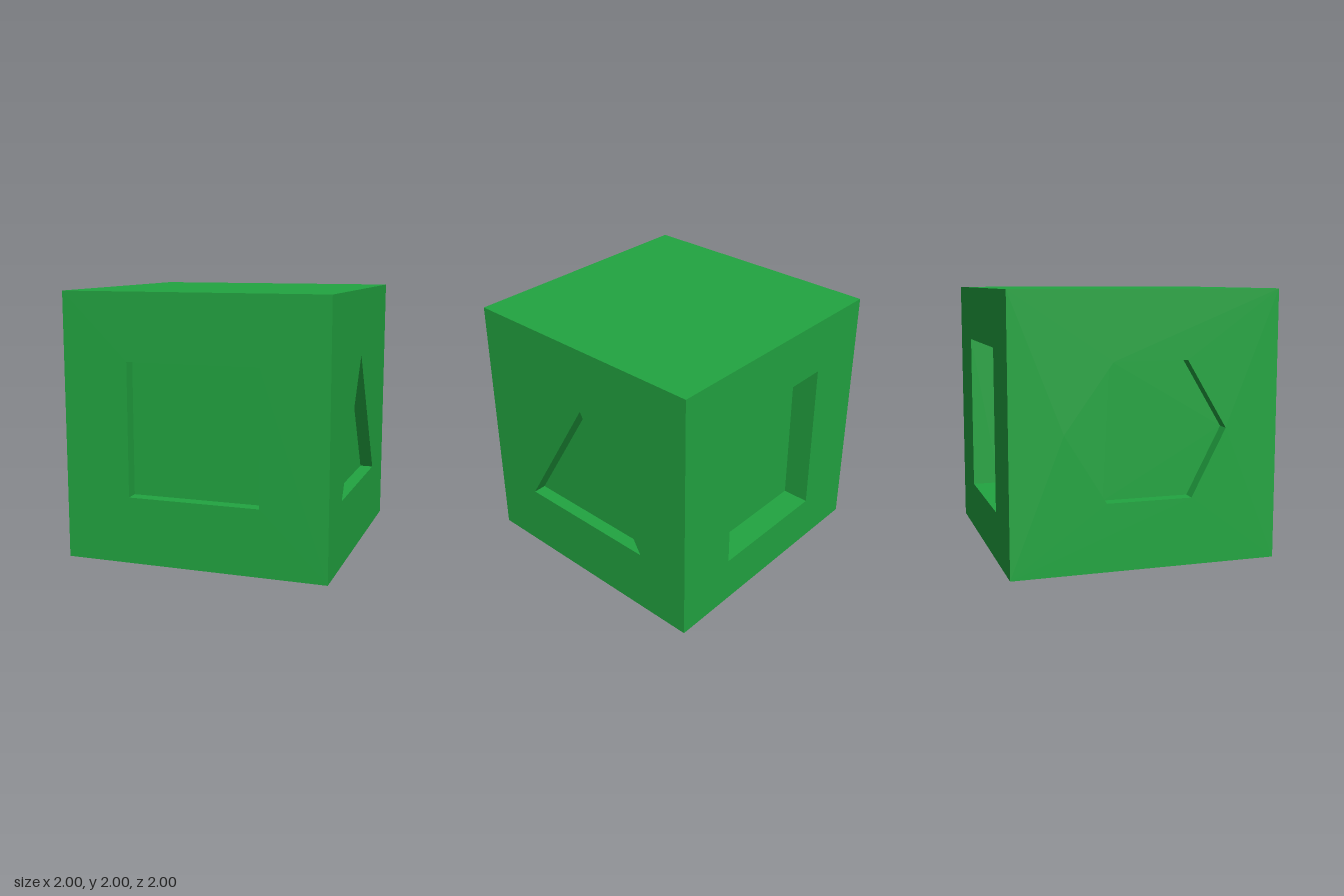
import * as THREE from 'three';

const material = new THREE.MeshStandardMaterial({ color: 0x22a541, flatShading: true });

function addMesh(parent, name, geometry) {
  const mesh = new THREE.Mesh(geometry, material);
  mesh.name = name;
  parent.add(mesh);
  return mesh;
}

// Inward-facing walls running round a counterclockwise outline
function wallGeometry(outline, depth) {
  const positions = [];
  outline.forEach(([px, py], i) => {
    const [qx, qy] = outline[(i + 1) % outline.length];
    positions.push(px, py, 0, qx, qy, 0, qx, qy, -depth);
    positions.push(px, py, 0, qx, qy, -depth, px, py, -depth);
  });
  const geometry = new THREE.BufferGeometry();
  geometry.setAttribute('position', new THREE.Float32BufferAttribute(positions, 3));
  geometry.computeVertexNormals();
  return geometry;
}

// One 2 x 2 cube face, facing +z, with an optional recess
function makeFace(name, outline, depth) {
  const face = new THREE.Group();
  face.name = name;
  const square = new THREE.Shape([[-1, -1], [1, -1], [1, 1], [-1, 1]].map(p => new THREE.Vector2(...p)));
  if (outline) {
    const points = outline.map(p => new THREE.Vector2(...p));
    square.holes.push(new THREE.Path([...points, points[0]]));
    addMesh(face, 'recessFloor', new THREE.ShapeGeometry(new THREE.Shape(points))).position.z = -depth;
    addMesh(face, 'recessWalls', wallGeometry(outline, depth));
  }
  addMesh(face, 'panel', new THREE.ShapeGeometry(square));
  return face;
}

export function createModel() {
  const group = new THREE.Group();
  group.name = 'recessedCube';
  const q = Math.PI / 2;

  // name, pitch, yaw, recess outline, recess depth
  const faces = [
    ['squareFace', 0, 0, [[-0.5, -0.5], [0.5, -0.5], [0.5, 0.5], [-0.5, 0.5]], 0.1],
    ['triangleFace', 0, q, [[-0.6, -0.5], [0.57, -0.5], [0, 0.5]], 0.1],
    ['rectangleFace', 0, 2 * q, [[-0.5, -0.63], [0.5, -0.63], [0.5, 0.58], [-0.5, 0.58]], 0.21],
    ['hexagonFace', 0, -q, [[-0.3, -0.5], [0.34, -0.5], [0.6, 0], [0.3, 0.5], [-0.25, 0.5], [-0.61, 0]], 0.1],
    ['topFace', -q, 0],
    ['bottomFace', q, 0],
  ];

  for (const [name, pitch, yaw, outline, depth] of faces) {
    const face = makeFace(name, outline, depth);
    face.rotation.set(pitch, yaw, 0);
    // Push the face out along its own normal, then lift the cube onto the ground
    face.position.set(0, 0, 1).applyEuler(face.rotation);
    face.position.y += 1;
    group.add(face);
  }
  return group;
}
